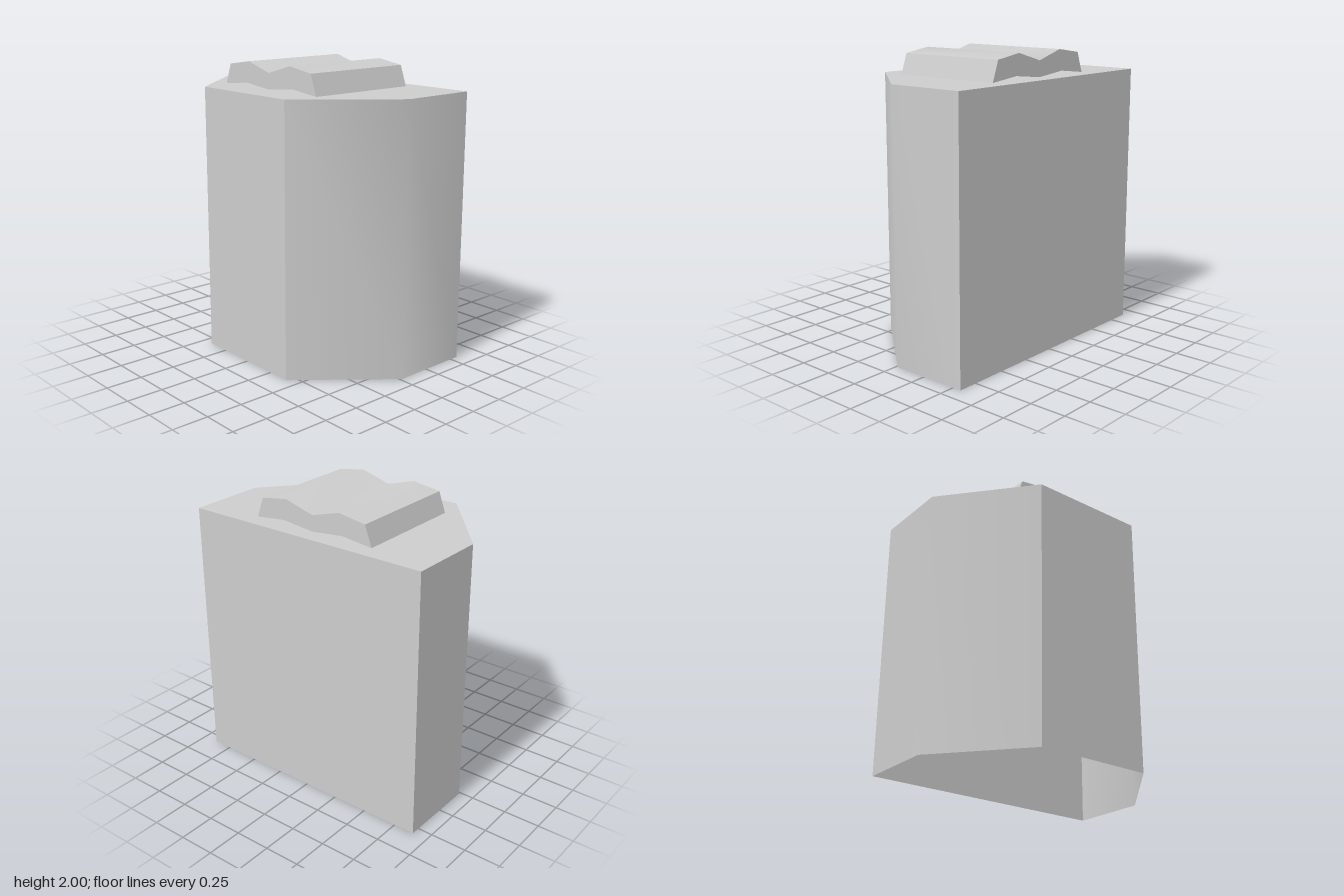
import * as THREE from 'three';
import { toCreasedNormals } from 'three/addons/utils/BufferGeometryUtils.js';

const CREASE = THREE.MathUtils.degToRad(45);
const BODY_HEIGHT = 1.83;

// Footprint of the body as [x, z]
const FOOTPRINT = [
  [-0.565, -0.415], [0.015, -0.9], [0.562, -0.895],
  [0.562, 0.89], [0.015, 0.895], [-0.565, 0.41],
];

// Half profile of the wavy cushion as [z, y]: upper edge outwards, then lower edge inwards
const HALF_WAVE = [
  [0.21, 2.0], [0.41, 1.97], [0.46, 1.832], [0.235, 1.857],
];

// Open-bottomed vertical walls around a footprint
function wallGeometry(points, height) {
  const positions = [];
  points.forEach(([ax, az], i) => {
    const [bx, bz] = points[(i + 1) % points.length];
    positions.push(
      ax, 0, az, ax, height, az, bx, height, bz,
      ax, 0, az, bx, height, bz, bx, 0, bz,
    );
  });
  const geometry = new THREE.BufferGeometry();
  geometry.setAttribute('position', new THREE.Float32BufferAttribute(positions, 3));
  return toCreasedNormals(geometry, CREASE);
}

const toShape = (points) => new THREE.Shape(points.map(([a, b]) => new THREE.Vector2(a, b)));

export function createModel() {
  const grey = new THREE.MeshStandardMaterial({ color: 0xcccccc, side: THREE.DoubleSide });
  grey.name = 'light grey';

  const model = new THREE.Group();
  model.name = 'cabinet';
  const add = (name, geometry) => {
    const mesh = new THREE.Mesh(geometry, grey);
    mesh.name = name;
    model.add(mesh);
  };

  // Body: hollow shell with a flat lid
  add('bodyWalls', wallGeometry(FOOTPRINT, BODY_HEIGHT));
  const lid = new THREE.ShapeGeometry(toShape(FOOTPRINT.map(([x, z]) => [x, -z])));
  lid.rotateX(-Math.PI / 2).translate(0, BODY_HEIGHT, 0);
  add('bodyTop', lid);

  // Wavy cushion: mirrored profile extruded along x
  const mirrored = HALF_WAVE.map(([z, y]) => [-z, y]).reverse();
  const wave = new THREE.ExtrudeGeometry(
    toShape([[0, 1.94], ...HALF_WAVE, [0, 1.832], ...mirrored]),
    { depth: 0.8, bevelEnabled: false },
  );
  wave.rotateY(Math.PI / 2).translate(-0.352, 0, 0);
  add('wavyCushion', toCreasedNormals(wave, CREASE));

  return model;
}
